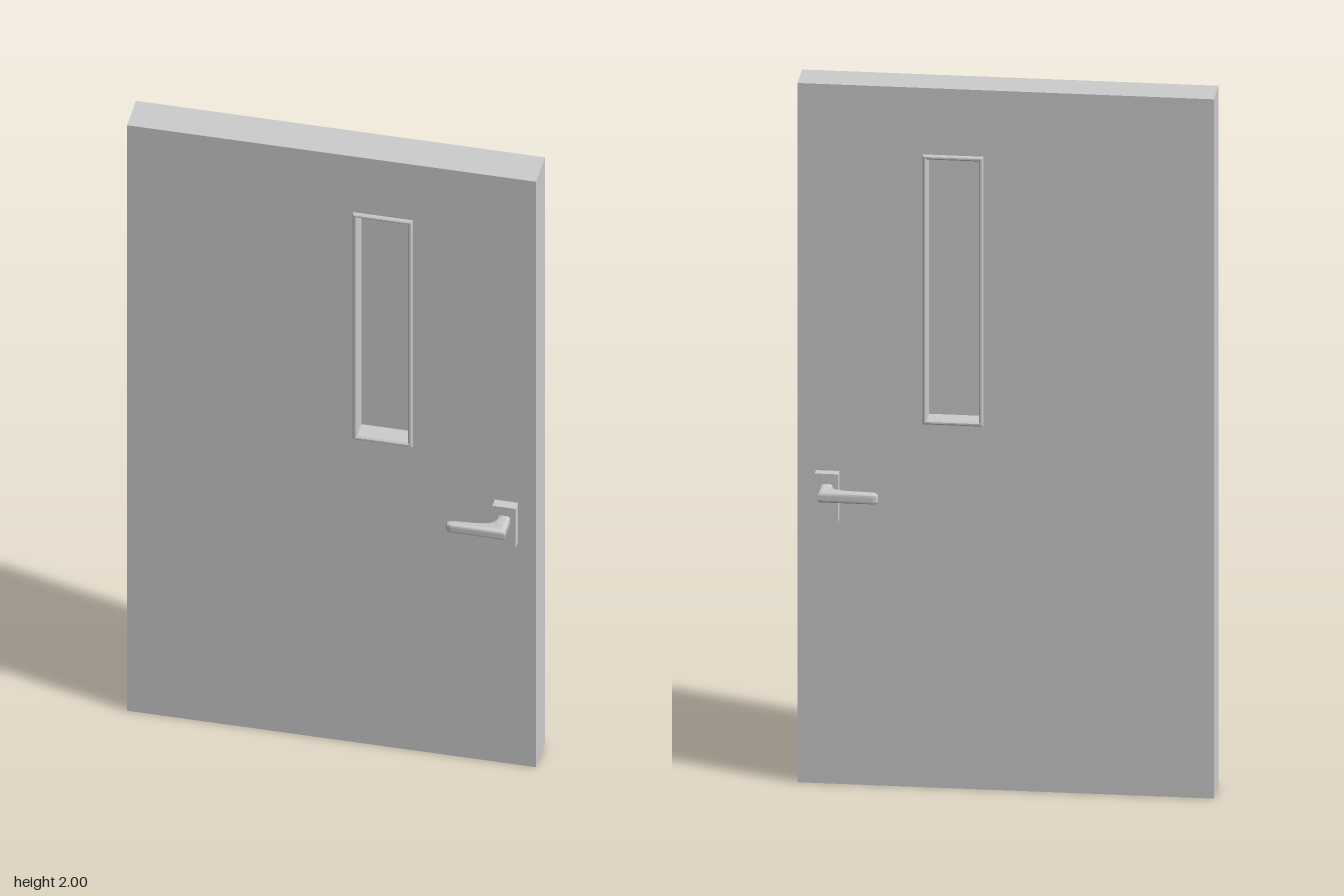
import * as THREE from 'three';
import { toCreasedNormals } from 'three/addons/utils/BufferGeometryUtils.js';

const material = new THREE.MeshStandardMaterial({ color: 0xcccccc });

function part(name, geometry, x = 0, y = 0, z = 0) {
  const mesh = new THREE.Mesh(geometry, material);
  mesh.name = name;
  mesh.position.set(x, y, z);
  return mesh;
}

// Counter-clockwise rectangle as a point list
function rect(x0, y0, x1, y1) {
  return [[x0, y0], [x1, y0], [x1, y1], [x0, y1]].map(([x, y]) => new THREE.Vector2(x, y));
}

// Rectangle with a rectangular opening, extruded symmetrically about z = 0
function slabWithOpening(outer, inner, depth, bevel = 0) {
  const shape = new THREE.Shape(rect(...outer));
  shape.holes.push(new THREE.Path(rect(...inner).reverse()));
  const geometry = new THREE.ExtrudeGeometry(shape, {
    depth: depth - 2 * bevel, bevelEnabled: bevel > 0, bevelSize: bevel,
    bevelThickness: bevel, bevelOffset: -bevel, bevelSegments: 1,
  });
  return geometry.translate(0, 0, -(depth - 2 * bevel) / 2);
}

// Lever outline seen from above (shape y becomes z), rounded along its edges
function leverGeometry() {
  const s = new THREE.Shape();
  s.moveTo(0.5, 0.06);
  s.lineTo(0.5, 0.155);
  s.lineTo(0.352, 0.155);
  s.bezierCurveTo(0.33, 0.155, 0.33, 0.129, 0.352, 0.128);
  s.lineTo(0.41, 0.124);
  s.bezierCurveTo(0.445, 0.121, 0.465, 0.112, 0.465, 0.09);
  s.lineTo(0.465, 0.06);
  const r = 0.011, height = 0.031;
  const geometry = new THREE.ExtrudeGeometry(s, {
    depth: height - 2 * r, curveSegments: 12, bevelSize: r,
    bevelThickness: r, bevelOffset: -r, bevelSegments: 6,
  });
  geometry.translate(0, 0, -(height - 2 * r) / 2).rotateX(Math.PI / 2);
  return toCreasedNormals(geometry, 0.7);
}

export function createModel() {
  const door = new THREE.Group();
  door.name = 'door';

  // Door leaf, window frame lining the opening, and pane
  door.add(part('doorLeaf', slabWithOpening([-0.565, 0, 0.565, 2], [0.066, 1.046, 0.219, 1.804], 0.11)));
  door.add(part('windowFrame', slabWithOpening([0.06, 1.04, 0.225, 1.81], [0.072, 1.052, 0.213, 1.798], 0.13, 0.004)));
  door.add(part('windowPane', new THREE.BoxGeometry(0.15, 0.755, 0.016), 0.1425, 1.425, 0));

  // Matching plate and lever on both faces
  const lever = leverGeometry();
  for (const side of [1, -1]) {
    const handle = new THREE.Group();
    handle.name = side > 0 ? 'frontHandle' : 'backHandle';
    handle.add(part('handlePlate', new THREE.BoxGeometry(0.064, 0.136, 0.028), 0.483, 0.827, side * 0.069));
    const leverMesh = part('handleLever', lever, 0, 0.851, 0);
    if (side < 0) leverMesh.rotation.x = Math.PI;
    handle.add(leverMesh);
    door.add(handle);
  }
  return door;
}
